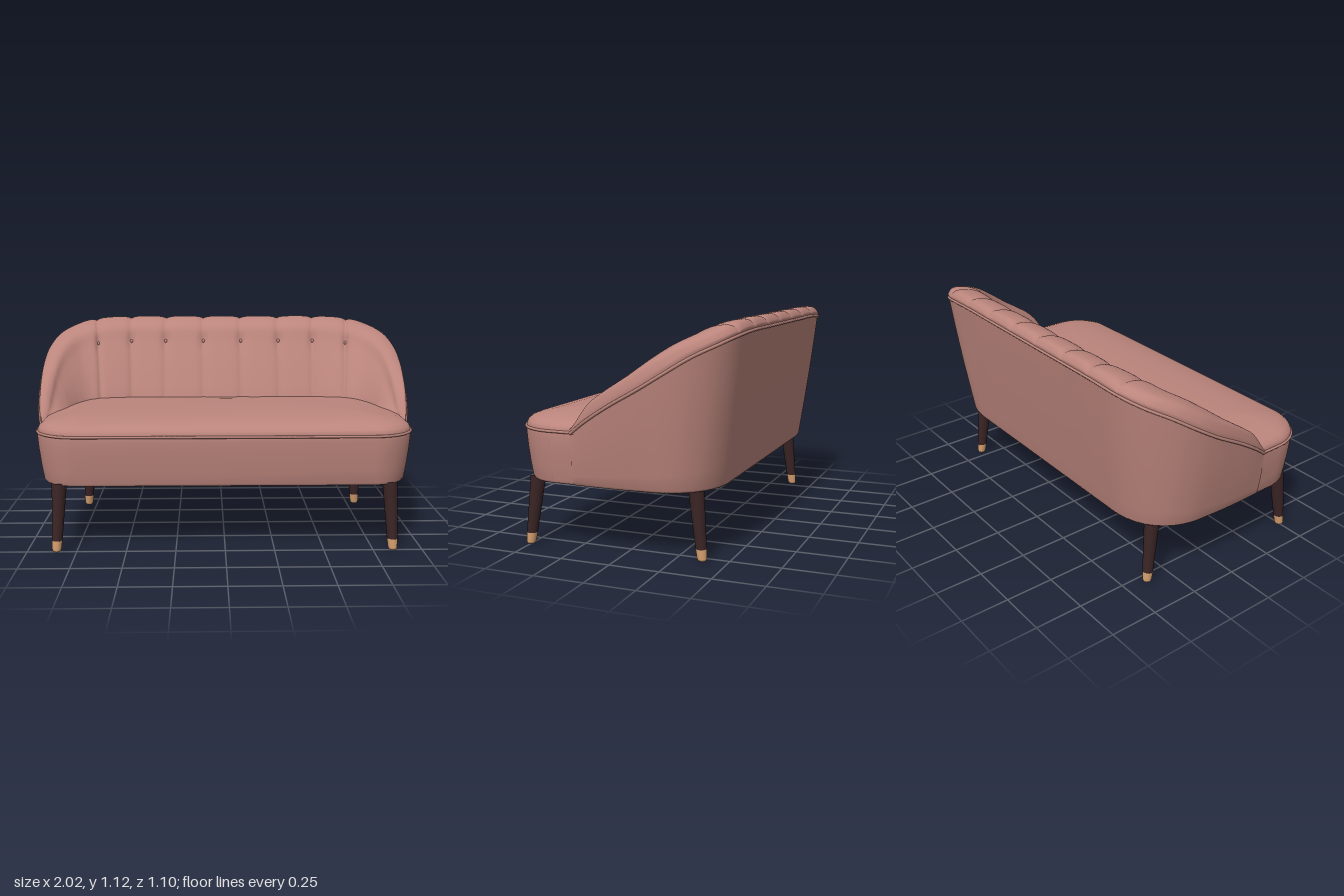
import * as THREE from 'three';

const V = (x, y, z) => new THREE.Vector3(x, y, z);

// Surface from a rule fn(row, column); its outside faces along row x column
function surface(rows, cols, fn) {
  const pos = [], idx = [];
  for (let r = 0; r <= rows; r++)
    for (let c = 0; c <= cols; c++) pos.push(...fn(r / rows, c / cols, r, c).toArray());
  const w = cols + 1;
  for (let r = 0; r < rows; r++)
    for (let c = 0; c < cols; c++) {
      const a = r * w + c;
      idx.push(a, a + w, a + 1, a + 1, a + w, a + w + 1);
    }
  const g = new THREE.BufferGeometry();
  g.setAttribute('position', new THREE.Float32BufferAttribute(pos, 3));
  g.setIndex(idx);
  g.computeVertexNormals();
  return g;
}

// Half of each sweep rail, from the middle of the back to the arm tip
const rimHalf = [
  [.108, 1.06, -.54], [.325, 1.06, -.54], [.535, 1.06, -.54], [.74, 1.048, -.53],
  [.86, 1.015, -.475], [.94, .965, -.38], [.985, .895, -.27], [1, .82, -.15],
  [.993, .735, 0], [.978, .655, .125], [.957, .59, .212]];
const footHalf = [
  [.108, .35, -.45], [.325, .35, -.45], [.52, .35, -.45], [.68, .35, -.445],
  [.8, .35, -.4], [.88, .35, -.32], [.92, .35, -.22], [.93, .35, -.11],
  [.935, .35, 0], [.935, .35, .11], [.932, .35, .212]];
const innerHalf = [
  [.108, .6, -.17], [.325, .6, -.17], [.51, .6, -.17], [.68, .6, -.12],
  [.74, .6, -.09], [.78, .6, -.04], [.805, .6, .02], [.82, .6, .08],
  [.84, .6, .14], [.87, .6, .185], [.95, .6, .212]];
const rail = half => new THREE.CatmullRomCurve3([
  ...half.map(([x, y, z]) => V(-x, y, z)).reverse(),
  ...half.map(p => V(...p))], false, 'catmullrom', 0.5);
const rim = rail(rimHalf), foot = rail(footHalf), inner = rail(innerHalf);
const SPANS = 21, FIRST_SEAM = 7, LAST_SEAM = 14, BUTTON_ROW = 0.6;

// Cushion cross-section: across (rim to seat), height share, roll share
const section = new THREE.CatmullRomCurve3([
  V(0, 1, 0), V(0, 1, .5), V(.1, 1, 1), V(.28, 1, .8), V(.45, .95, .45),
  V(.57, .8, .1), V(.78, .48, 0), V(.95, .17, 0), V(1, 0, 0)]);

function backPoint(q, t) {
  const R = rim.getPoint(t), I = inner.getPoint(t), s = section.getPoint(q);
  const i = t * SPANS, side = Math.abs(i - SPANS / 2);
  const roll = THREE.MathUtils.lerp(.055, .07, THREE.MathUtils.smoothstep(side, 4, 7))
    * (1 - .7 * THREE.MathUtils.smoothstep(side, 9, 10.5));
  const p = V(
    THREE.MathUtils.lerp(R.x, I.x, s.x),
    .6 + s.y * (R.y - .6) + s.z * roll,
    THREE.MathUtils.lerp(R.z, I.z, s.x));
  // Stitched grooves with a dimple at each button
  const seam = THREE.MathUtils.clamp(Math.round(i), FIRST_SEAM, LAST_SEAM);
  const d = Math.abs(i - seam), dq = (q - BUTTON_ROW) / .05;
  const groove = .014 * Math.exp(-d / .1) * Math.min(1, q * 5)
    + .014 * Math.exp(-((d / .1) ** 2) - dq * dq);
  const a = (1 - q) * Math.PI / 2;
  const dir = V(I.x - R.x, 0, I.z - R.z).normalize().multiplyScalar(Math.cos(a));
  dir.y = Math.sin(a);
  return p.addScaledVector(dir, -groove);
}

function shellPoint(q, t, row) {
  const B = foot.getPoint(t), R = rim.getPoint(t);
  if (row === 0) return V(B.x * .8, .337, B.z * .8);
  if (row === 1) return V(B.x * .985, .337, B.z * .985);
  const k = (row - 2) / 8, bow = .006 * Math.sin(Math.PI * k);
  const p = B.clone().lerp(R, k);
  p.x *= 1 + bow;
  p.z *= p.z < 0 ? 1 + bow : 1;
  return p;
}

// Rounded seat outline, pulled in by an inset
const CORNER = 16;
function outline(c, inset, y) {
  const k = Math.min(3, Math.floor(c / (CORNER + 1)));
  const step = c === 4 * (CORNER + 1) ? 0 : c % (CORNER + 1);
  const quad = c === 4 * (CORNER + 1) ? 0 : k;
  const ang = (quad + step / CORNER) * Math.PI / 2;
  const front = quad < 2, r0 = front ? .22 : .3, r = Math.max(.03, r0 - inset);
  const cx = (.955 - inset - r) * (quad === 0 || quad === 3 ? 1 : -1);
  const cz = front ? .54 - inset - r : -.43 + inset + r;
  return V(cx + r * Math.cos(ang), y, cz + r * Math.sin(ang));
}
const LOOP = 4 * (CORNER + 1);
// Stack of [height, inset] outlines; a null inset closes to the middle
const stack = levels => surface(levels.length - 1, LOOP, (q, t, r, c) => {
  const [y, inset] = levels[r];
  return inset === null ? V(0, y, .05) : outline(c, inset, y);
});

export function createModel() {
  const fabric = new THREE.MeshStandardMaterial({ color: 0xbb857c });
  fabric.name = 'dustyPinkFabric';
  const wood = new THREE.MeshStandardMaterial({ color: 0x3a2425 });
  wood.name = 'darkWood';
  const cap = new THREE.MeshStandardMaterial({ color: 0xd6a06f });
  cap.name = 'paleTip';

  const model = new THREE.Group();
  model.name = 'sofa';
  const add = (name, geometry, material, parent = model) => {
    const m = new THREE.Mesh(geometry, material);
    m.name = name;
    parent.add(m);
    return m;
  };

  // Wraparound back and arms
  add('outerShell', surface(10, SPANS * 6, shellPoint), fabric);
  add('tuftedBackAndArms', surface(48, SPANS * 14, backPoint), fabric);
  add('rimPiping', new THREE.TubeGeometry(rim, 160, .008, 8), fabric);

  // Buttons on the seams
  for (let s = FIRST_SEAM; s <= LAST_SEAM; s++) {
    const b = add('button', new THREE.SphereGeometry(.011, 12, 8), fabric);
    b.position.copy(backPoint(BUTTON_ROW, s / SPANS));
  }

  // Seat base, underside and domed cushion
  add('underside', stack([[.34, null], [.34, .035]]), fabric);
  add('seatBase', stack([[.34, .035], [.352, .027], [.42, .016], [.5, .006], [.57, 0], [.595, .003]]), fabric);
  add('seatCushion', stack([[.592, .004], [.605, .002], [.622, .01], [.64, .03], [.655, .07],
    [.668, .14], [.678, .22], [.684, .32], [.686, null]]), fabric);
  const edge = [];
  for (let c = 0; c < LOOP; c++) edge.push(outline(c, 0, .594));
  add('seatPiping', new THREE.TubeGeometry(new THREE.CatmullRomCurve3(edge, true), 200, .007, 8, true), fabric);

  // Splayed, tapered legs with pale tips
  const legProfile = [[.0265, .06], [.038, .35]].map(p => new THREE.Vector2(...p));
  const tipProfile = [[0, 0], [.012, .001], [.02, .006], [.0235, .015], [.0268, .06]]
    .map(p => new THREE.Vector2(...p));
  for (const sx of [-1, 1])
    for (const [name, x, z, lean] of [['frontLeg', .85, .5, -.12], ['backLeg', .795, -.38, .11]]) {
      const leg = new THREE.Group();
      leg.name = name;
      leg.position.set(sx * x, 0, z);
      const shear = new THREE.Matrix4().set(
        1, -sx * .05, 0, 0, 0, 1, 0, 0, 0, lean, 1, 0, 0, 0, 0, 1);
      add('legShaft', new THREE.LatheGeometry(legProfile, 24).applyMatrix4(shear), wood, leg);
      add('legTip', new THREE.LatheGeometry(tipProfile, 24).applyMatrix4(shear), cap, leg);
      model.add(leg);
    }
  return model;
}
